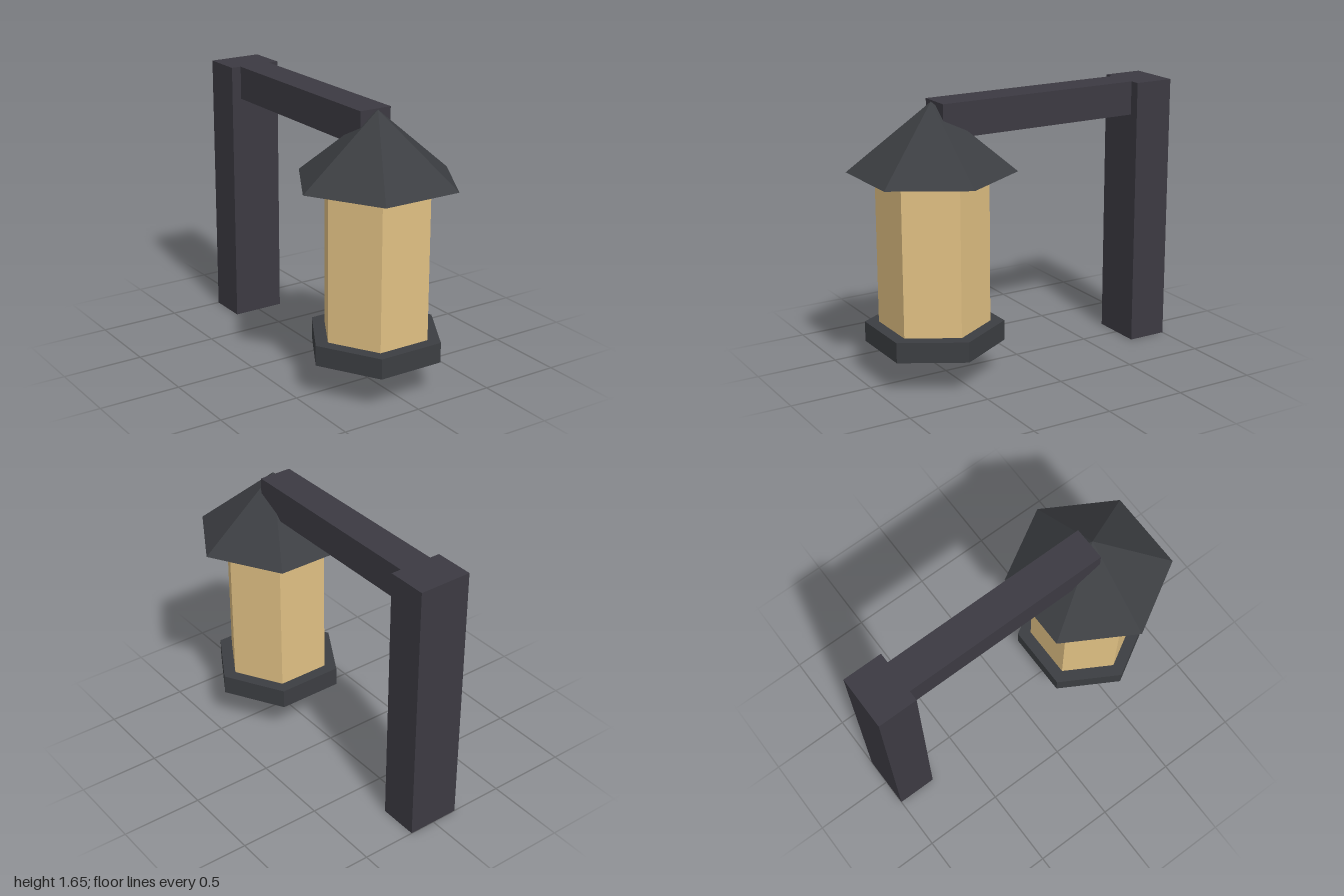
import * as THREE from 'three';

export function createModel() {
  const group = new THREE.Group();
  const make = (name, color) => {
    const m = new THREE.MeshStandardMaterial({ color, flatShading: true });
    m.name = name;
    return m;
  };
  const timber = make('dark timber', 0x3c3a42);
  const iron = make('dark iron', 0x3c3e42);
  const glow = make('warm glass', 0xe0c083);

  const add = (name, geometry, material) => {
    const mesh = new THREE.Mesh(geometry, material);
    mesh.name = name;
    group.add(mesh);
  };

  // Box given by its width and its y and z extents, centred on x = 0
  const beam = (name, width, y0, y1, z0, z1) =>
    add(name, new THREE.BoxGeometry(width, y1 - y0, z1 - z0)
      .translate(0, (y0 + y1) / 2, (z0 + z1) / 2), timber);

  // Six-sided prism or pyramid on the lantern axis, flat side to the front
  const hex = (name, rTop, rBottom, y0, y1, material) =>
    add(name, new THREE.CylinderGeometry(rTop, rBottom, y1 - y0, 6, 1)
      .rotateY(Math.PI / 6).translate(0, (y0 + y1) / 2, 0.57), material);

  // Post and hanging arm
  beam('post', 0.33, 0, 1.655, -1, -0.753);
  beam('arm', 0.206, 1.45, 1.655, -0.753, 0.548);

  // Lantern
  hex('lanternBase', 0.413, 0.413, 0.21, 0.333, iron);
  hex('lanternGlass', 0.33, 0.33, 0.333, 1.245, glow);
  hex('lanternRoof', 0, 0.495, 1.245, 1.655, iron);

  return group;
}
